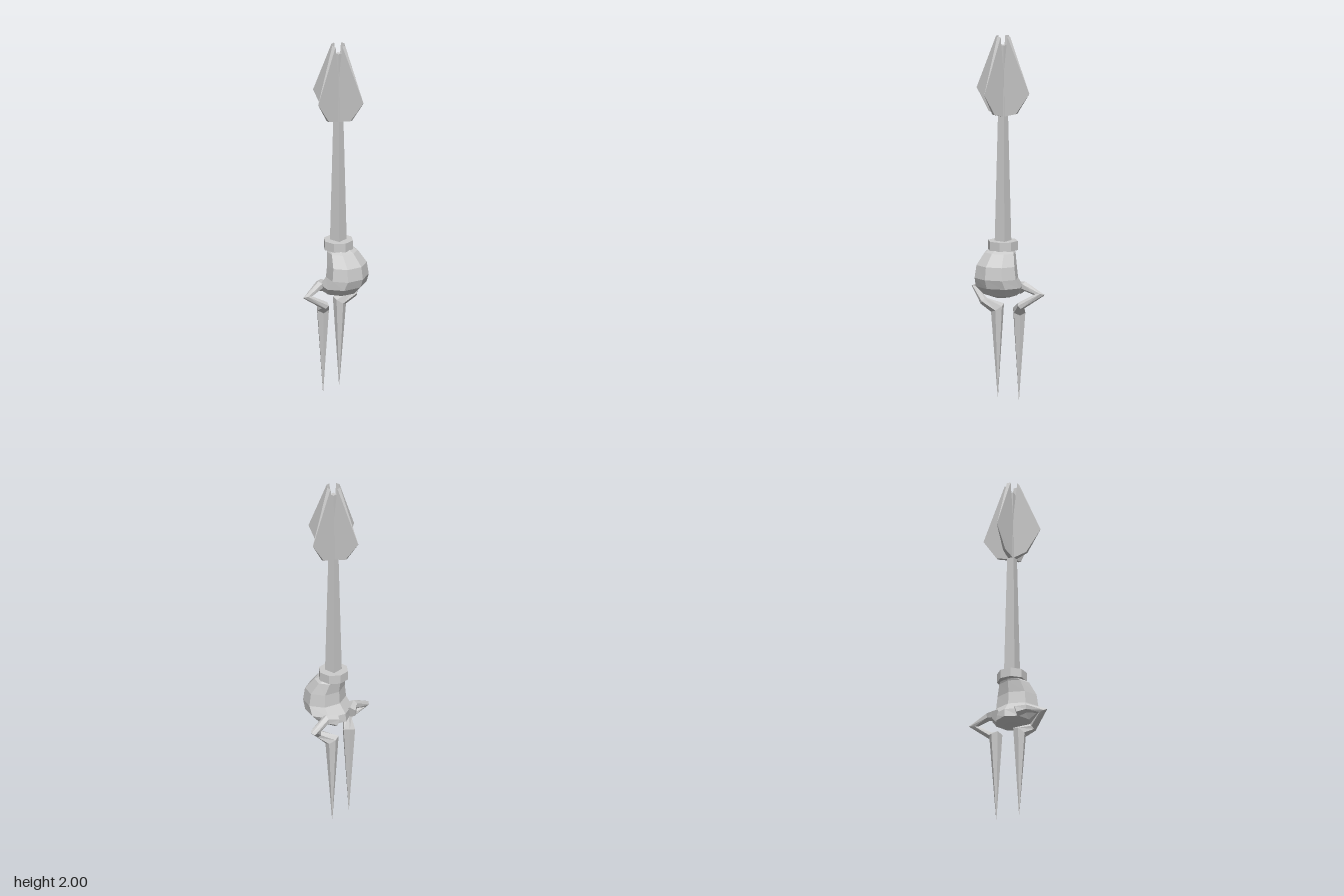
import * as THREE from 'three';

const V = (x, y, z) => new THREE.Vector3(x, y, z);

function makeMesh(name, geometry) {
  const material = new THREE.MeshStandardMaterial({ color: 0xcccccc, flatShading: true });
  const mesh = new THREE.Mesh(geometry, material);
  mesh.name = name;
  return mesh;
}

// Skin a closed surface over rings of points, capping both ends
function skin(rings) {
  const pos = [];
  const tri = (...pts) => pts.forEach((p) => pos.push(p.x, p.y, p.z));
  const n = rings[0].length;
  const middle = (r) => r.reduce((s, p) => s.add(p), V(0, 0, 0)).divideScalar(n);
  const first = rings[0], last = rings[rings.length - 1];
  const c0 = middle(first), c1 = middle(last);
  for (let i = 0; i < n; i++) {
    const j = (i + 1) % n;
    for (let k = 0; k < rings.length - 1; k++) {
      const a = rings[k], b = rings[k + 1];
      tri(a[i], b[i], b[j]);
      tri(a[i], b[j], a[j]);
    }
    tri(c0, first[i], first[j]);
    tri(c1, last[j], last[i]);
  }
  const g = new THREE.BufferGeometry();
  g.setAttribute('position', new THREE.Float32BufferAttribute(pos, 3));
  g.computeVertexNormals();
  return g;
}

// Faceted limb along a bent path, mitred at each joint
function limb(path, radii, sides) {
  const dirs = path.slice(1).map((p, i) => p.clone().sub(path[i]).normalize());
  let normal = V(0, 1, 0);
  const rings = path.map((p, k) => {
    const d0 = dirs[Math.max(k - 1, 0)], d1 = dirs[Math.min(k, dirs.length - 1)];
    const t = d0.clone().add(d1).normalize();
    normal = normal.clone().addScaledVector(t, -normal.dot(t)).normalize();
    const side = normal.clone().cross(t);
    const bend = d1.clone().sub(d0).normalize();
    const stretch = Math.min(1 / Math.max(t.dot(d1), 0.1), 1.5) - 1;
    return Array.from({ length: sides }, (_, i) => {
      const a = (i / sides) * Math.PI * 2;
      const o = normal.clone().multiplyScalar(Math.cos(a) * radii[k])
        .addScaledVector(side, Math.sin(a) * radii[k]);
      return o.addScaledVector(bend, o.dot(bend) * stretch).add(p);
    });
  });
  return skin(rings);
}

// Upright tapered column with flat sides facing the axes
function column(name, rTop, rBottom, y0, y1, sides) {
  const g = new THREE.CylinderGeometry(rTop, rBottom, y1 - y0, sides);
  g.rotateY(Math.PI / sides);
  g.translate(0, (y0 + y1) / 2, 0);
  return makeMesh(name, g);
}

// Leaf-shaped fin, thick at the shaft and sharp at the outer edge
function finGeometry() {
  const outline = [[0, 1.555], [0.09, 1.58], [0.175, 1.70], [0.038, 2.0], [0.012, 1.78]];
  const shape = new THREE.Shape(outline.map(([x, y]) => new THREE.Vector2(x, y)));
  const g = new THREE.ExtrudeGeometry(shape, { depth: 2, bevelEnabled: false });
  const p = g.attributes.position;
  for (let i = 0; i < p.count; i++) {
    const half = 0.015 * Math.max(1 - p.getX(i) / 0.175, 0.02);
    p.setZ(i, (p.getZ(i) - 1) * half);
  }
  g.computeVertexNormals();
  return g;
}

export function createModel() {
  const model = new THREE.Group();
  model.name = 'model';

  // Bulbous body: height, front z, back z, half width
  const sections = [
    [0.835, 0.06, -0.06, 0.06],
    [0.815, 0.105, -0.05, 0.09],
    [0.75, 0.16, -0.04, 0.118],
    [0.68, 0.17, -0.045, 0.128],
    [0.63, 0.153, -0.085, 0.137],
    [0.585, 0.11, -0.09, 0.1],
    [0.568, 0.06, -0.04, 0.05],
  ];
  const rings = sections.map(([y, zf, zb, w]) => Array.from({ length: 8 }, (_, i) => {
    const a = (i / 8) * Math.PI * 2;
    return V(w * Math.sin(a), y, (zf + zb) / 2 + ((zf - zb) / 2) * Math.cos(a));
  }));
  model.add(makeMesh('body', skin(rings)));

  // Collar and square shaft
  model.add(column('collar', 0.082, 0.082, 0.825, 0.875, 8));
  model.add(column('shaft', 0.018, 0.046, 0.86, 1.95, 4));

  // Four fins around the shaft top
  const fins = new THREE.Group();
  fins.name = 'fins';
  const fin = finGeometry();
  for (let i = 0; i < 4; i++) {
    const blade = makeMesh('fin', fin);
    blade.rotation.y = (i * Math.PI) / 2;
    fins.add(blade);
  }
  model.add(fins);

  // Bent arms ending in long spikes
  const path = [
    V(0.06, 0.61, -0.07), V(0.115, 0.627, -0.045), V(0.212, 0.59, -0.043),
    V(0.125, 0.53, 0.005), V(0.072, 0.49, -0.05), V(0.07, 0, -0.05),
  ];
  const arm = limb(path, [0.034, 0.025, 0.02, 0.022, 0.036, 0.001], 6);
  for (const [name, s] of [['leftSpikedArm', 1], ['rightSpikedArm', -1]]) {
    const mesh = makeMesh(name, arm);
    mesh.scale.x = s;
    model.add(mesh);
  }
  return model;
}
